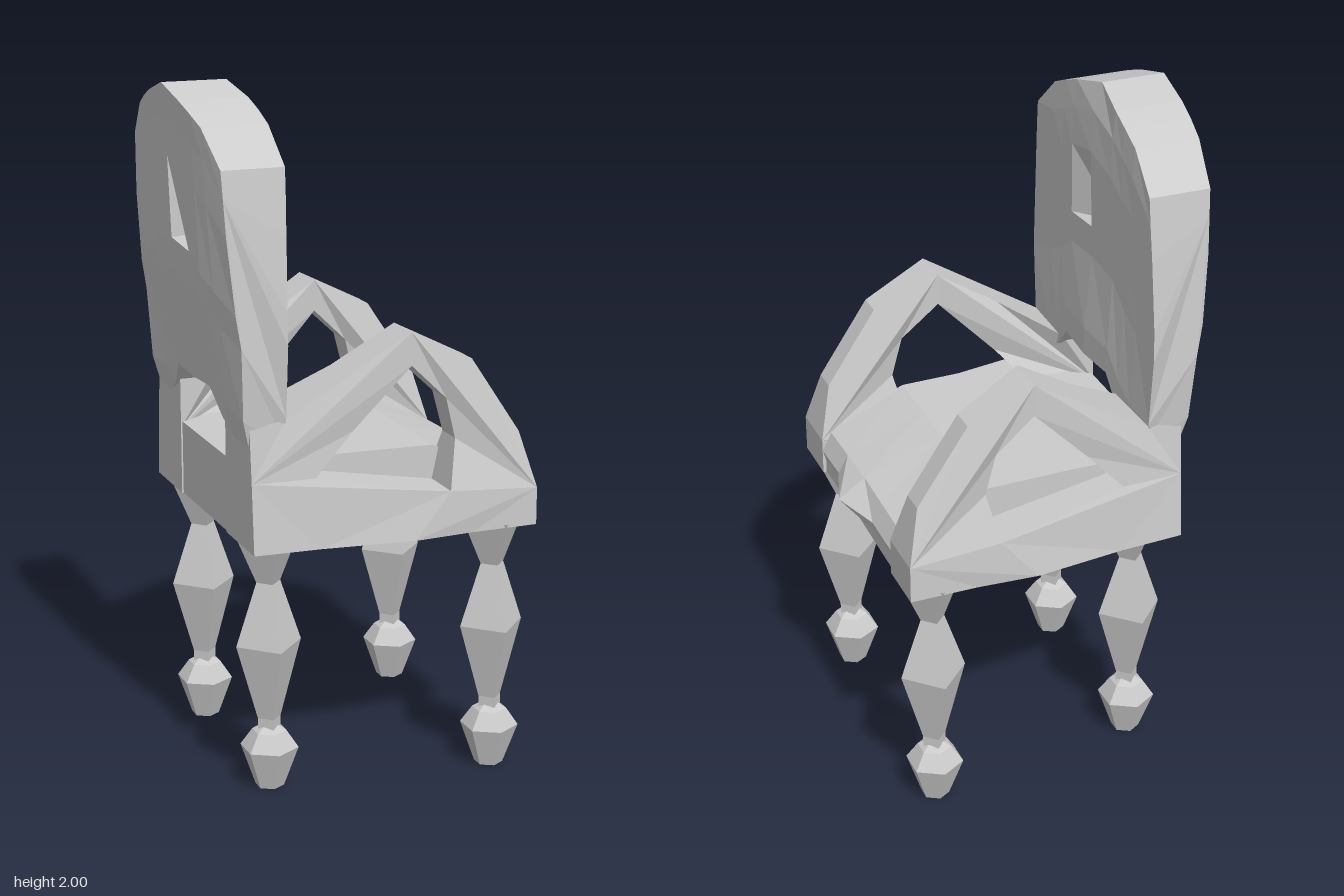
import * as THREE from 'three';

const material = new THREE.MeshStandardMaterial({ color: 0xcccccc, flatShading: true });

// Piecewise linear interpolation through [position, value] pairs
function ramp(pairs, t) {
  if (t <= pairs[0][0]) return pairs[0][1];
  for (let i = 1; i < pairs.length; i++) {
    const [a, va] = pairs[i - 1], [b, vb] = pairs[i];
    if (t <= b) return va + (vb - va) * (t - a) / (b - a);
  }
  return pairs[pairs.length - 1][1];
}

// Solid through closed xy sections (counterclockwise), ordered by rising z
function loft(sections) {
  const n = sections[0].length, index = [];
  for (let i = 0; i < sections.length - 1; i++) {
    for (let j = 0; j < n; j++) {
      const k = (j + 1) % n, a = i * n, b = a + n;
      index.push(a + j, a + k, b + k, a + j, b + k, b + j);
    }
  }
  const cap = (section) => THREE.ShapeUtils.triangulateShape(
    section.map((p) => new THREE.Vector2(p[0], p[1])), []);
  const last = (sections.length - 1) * n;
  for (const [a, b, c] of cap(sections[0])) index.push(c, b, a);
  for (const [a, b, c] of cap(sections[sections.length - 1])) index.push(last + a, last + b, last + c);
  const geometry = new THREE.BufferGeometry();
  geometry.setAttribute('position', new THREE.Float32BufferAttribute(sections.flat(2), 3));
  geometry.setIndex(index);
  geometry.computeVertexNormals();
  return geometry;
}

// Domed seat with a pointed front apron
function seatGeometry() {
  const columns = [[-0.33, 0.45, 0], [-0.15, 0.45, 0.005], [0, 0.5, 0.01], [0.15, 0.45, 0.005], [0.33, 0.45, 0]];
  return loft(columns.map(([z, nose, lift]) => [
    [-0.39, 0.75, z], [0, 0.75 + lift, z], [0.44, 0.75 + lift, z], [0.44, 0.79 + lift, z],
    [nose, 0.825 + lift, z], [0.42, 0.88 + lift, z], [0.18, 0.98, z],
    [-0.1, 0.985, z], [-0.3, 0.98, z], [-0.39, 0.97, z],
  ]));
}

// Arched backrest, hollowed above the seat, with a small notch beside the centre
function backrestGeometry() {
  const half = [[0.38, 1.05, 1.81], [0.27, 1.05, 1.91], [0.2, 1.09, 1.94], [0.13, 1.165, 1.965]]; // z, bottom, top
  const columns = [
    ...half.map(([z, b, t]) => [-z, b, t, 0]),
    [0, 1.16, 2, 0], [0, 1.16, 2, 1],
    ...half.slice().reverse().map(([z, b, t]) => [z, b, t, 0]),
  ];
  const rows = [0, 0.1, 0.37, 0.484, 0.488, 0.76, 0.9, 1];
  const frontX = [[1.05, -0.29], [1.47, -0.29], [1.8, -0.28], [1.96, -0.29], [2, -0.31]];
  const backX = [[1.05, -0.395], [1.15, -0.42], [1.5, -0.475], [1.9, -0.49], [2, -0.5]];
  const spread = [[1.05, 1.03], [1.25, 1.12], [1.47, 1.1], [1.81, 1]];
  return loft(columns.map(([z, bottom, top, notch]) => {
    const front = [], back = [];
    rows.forEach((v, r) => {
      const y = bottom + (top - bottom) * v;
      const wide = z * ramp(spread, y);
      const cut = notch && r === 4 ? 0.08 : 0;
      const bulge = r < 2 ? 0.02 * (1 - Math.abs(z) / 0.38) : 0;
      const curve = y > 1.15 ? 0.025 * (z / 0.38) ** 2 : 0;
      front.push([ramp(frontX, y) + bulge - cut, y, wide]);
      back.unshift([ramp(backX, y) + curve + cut * 0.6, y, wide]);
    });
    return [...front, ...back];
  }));
}

// Side panel: rear post, pierced armrest and side apron in one piece
function sideGeometry(side) {
  const points = (list) => list.map(([x, y]) => new THREE.Vector2(x, y));
  const shape = new THREE.Shape(points([
    [-0.395, 0.75], [-0.2, 0.75], [0.07, 0.75], [0.25, 0.75], [0.45, 0.75], [0.45, 0.86], [0.41, 1.02],
    [0.26, 1.245], [0.07, 1.34], [-0.11, 1.23], [-0.29, 1.12], [-0.395, 1.1], [-0.395, 0.95],
  ]));
  shape.holes.push(new THREE.Path(points([
    [-0.21, 0.95], [-0.1, 1.07], [0.07, 1.245], [0.18, 1.14], [0.21, 1.02], [0.18, 0.88],
  ])));
  const geometry = new THREE.ExtrudeGeometry(shape, { depth: 1, bevelEnabled: false });
  const p = geometry.attributes.position;
  for (let i = 0; i < p.count; i++) {
    const x = p.getX(i), y = p.getY(i);
    const low = ramp([[0.87, 1], [1.02, 0]], y);
    const inner = ramp([[-0.28, 0.2], [-0.2, 0.21], [-0.11, 0.28], [0.07, 0.305], [0.25, 0.34]], x)
      - (x > 0.15 ? 0.04 * low : 0);
    const outer = ramp([[-0.39, 0.4], [-0.29, 0.4], [-0.1, 0.415], [0.07, 0.43], [0.25, 0.415]], x)
      + ramp([[-0.3, 0.03], [0.2, 0.045]], x) * low;
    const outside = (p.getZ(i) > 0.5) === (side > 0);
    p.setZ(i, side * (outside ? outer : inner));
  }
  geometry.computeVertexNormals();
  return geometry;
}

// Faceted turned profile
const turned = (profile, sides) =>
  new THREE.LatheGeometry(profile.map(([r, y]) => new THREE.Vector2(r, y)), sides);

export function createModel() {
  const model = new THREE.Group();
  const add = (name, geometry, parent = model) => {
    const mesh = new THREE.Mesh(geometry, material);
    mesh.name = name;
    parent.add(mesh);
    return mesh;
  };

  add('seat', seatGeometry());
  add('backrest', backrestGeometry());
  add('leftArm', sideGeometry(-1));
  add('rightArm', sideGeometry(1));

  // Four turned legs, the front pair set wider
  const shaft = turned([[0.035, 0.16], [0.035, 0.21], [0.098, 0.435], [0.036, 0.62], [0.095, 0.76]], 4);
  const foot = turned([[0, 0], [0.042, 0], [0.085, 0.12], [0.05, 0.17], [0, 0.2]], 6);
  for (const [name, x, z] of [['frontLeg', 0.355, 0.372], ['backLeg', -0.303, 0.288]]) {
    for (const side of [-1, 1]) {
      const leg = new THREE.Group();
      leg.name = name;
      leg.position.set(x, 0, side * z);
      add('legShaft', shaft, leg);
      add('foot', foot, leg);
      model.add(leg);
    }
  }
  return model;
}
